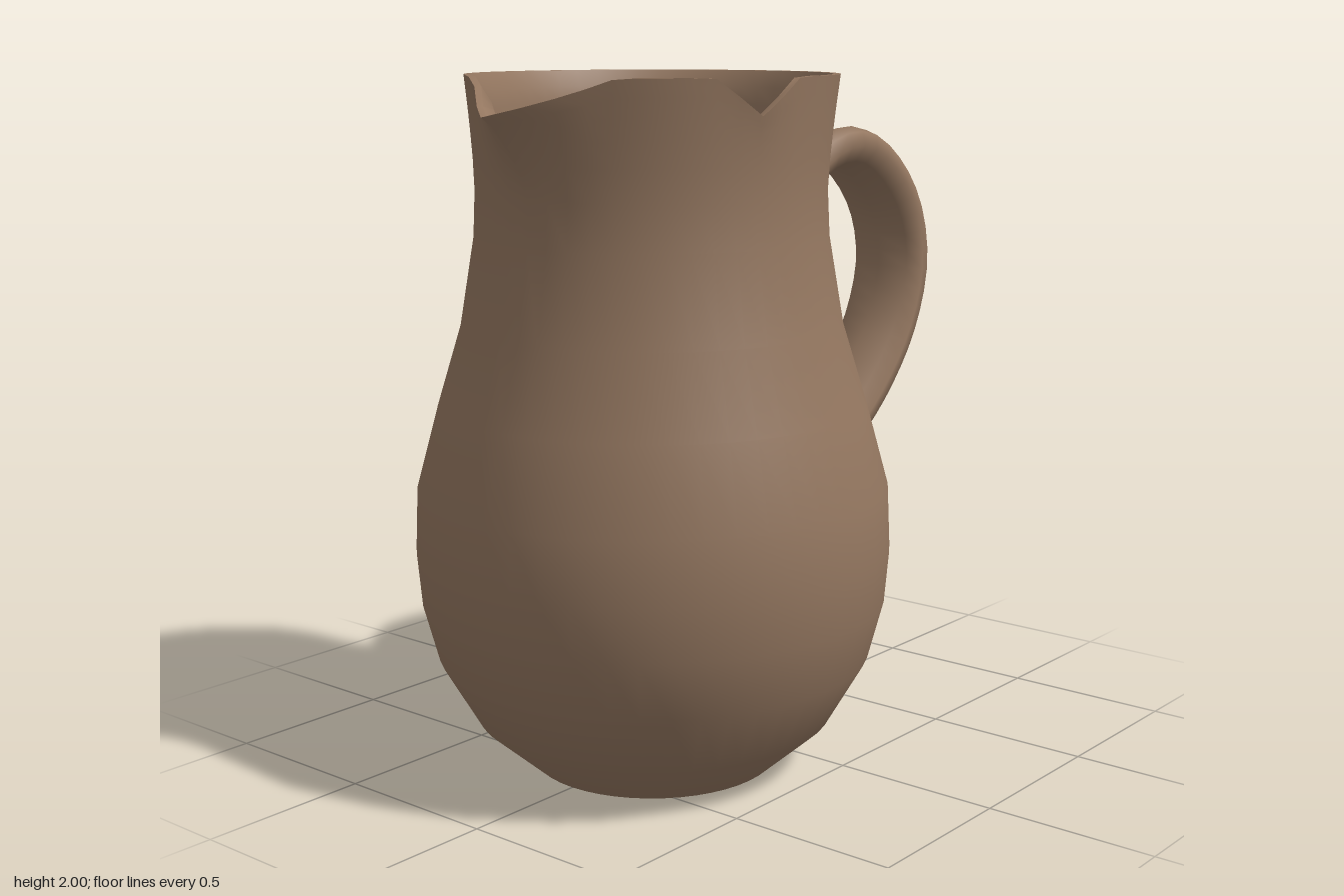
import * as THREE from 'three';
import { mergeVertices, toCreasedNormals } from 'three/addons/utils/BufferGeometryUtils.js';

const AXIS_X = -0.265; // the pot stands off-centre to make room for the handle

// outer wall as [radius, height]
const WALL = [
  [0.36, 0], [0.52, 0.14], [0.63, 0.33], [0.675, 0.5], [0.688, 0.65], [0.68, 0.83],
  [0.615, 1.07], [0.545, 1.3], [0.503, 1.55], [0.497, 1.68], [0.5, 1.77], [0.505, 1.84],
  [0.51, 1.9], [0.515, 1.95], [0.52, 2],
];

function wallRadius(y) {
  for (let i = 1; i < WALL.length; i++) {
    const [r0, y0] = WALL[i - 1], [r1, y1] = WALL[i];
    if (y <= y1) return THREE.MathUtils.lerp(r0, r1, (y - y0) / (y1 - y0));
  }
  return WALL[WALL.length - 1][0];
}

// hollow pot: lathe, with the mouth pulled into a spout and a nick in the rim
function makePot() {
  const inner = WALL.slice(1).reverse().map(([r, y]) => [r - (y > 1.97 ? 0.02 : 0.042), y]);
  const profile = [[0, 0.006], ...WALL, ...inner, [0.38, 0.07], [0, 0.06]];
  let geo = new THREE.LatheGeometry(profile.map(([r, y]) => new THREE.Vector2(r, y)), 48);
  const p = geo.attributes.position;
  for (let i = 0; i < p.count; i++) {
    const x = p.getX(i), y = p.getY(i), z = p.getZ(i);
    const r = Math.hypot(x, z);
    const t = THREE.MathUtils.clamp((y - 1.68) / 0.32, 0, 1);
    if (t === 0 || r === 0) continue;
    const a = Math.atan2(z, -x); // 0 at the spout, positive towards the front
    const spout = Math.pow(Math.max(0, 1 - Math.abs(a) / 0.45), 1.5);
    const dip = Math.max(0, 1 - Math.abs(a) / 0.55);
    const nick = Math.max(0, 1 - Math.abs(a - 1.31) / 0.27);
    const grow = (0.12 * spout * Math.pow(t, 1.3) + 0.015 * t * Math.max(0, -Math.cos(a))) / r;
    p.setXYZ(i,
      x * (1 + grow),
      y - (0.1 * dip + 0.1 * nick) * t * t,
      z * (1 + grow) - 0.02 * spout * t);
  }
  geo.deleteAttribute('uv');
  geo.deleteAttribute('normal');
  geo = toCreasedNormals(mergeVertices(geo, 1e-4), 0.65);
  return geo.translate(AXIS_X, 0, 0);
}

// strap handle: a grooved section swept along a curve
function makeHandle() {
  const path = new THREE.CatmullRomCurve3([
    [0.22, 1.47, -0.01], [0.28, 1.59, -0.01], [0.37, 1.69, 0], [0.5, 1.757, 0.005], [0.64, 1.755, 0.01],
    [0.78, 1.66, 0.018], [0.87, 1.53, 0.022], [0.893, 1.37, 0.028], [0.83, 1.18, 0.03],
    [0.69, 1.0, 0.03], [0.51, 0.845, 0.025], [0.38, 0.74, 0.02],
  ].map((v) => new THREE.Vector3(...v)));
  // section as [across, outward]
  const section = [
    [-0.132, 0], [-0.12, 0.045], [-0.075, 0.06], [0, 0.038], [0.075, 0.06], [0.12, 0.045],
    [0.132, 0], [0.1, -0.048], [0, -0.06], [-0.1, -0.048],
  ];
  const steps = 30, n = section.length, verts = [], index = [];
  for (let i = 0; i <= steps; i++) {
    const u = i / steps, c = path.getPointAt(u), t = path.getTangentAt(u);
    const thick = 1 + 0.6 * Math.max(0, 1 - u / 0.12) + 0.3 * Math.max(0, (u - 0.9) / 0.1);
    for (const [across, out] of section) {
      let x = c.x - t.y * out * thick, z = c.z + across;
      const y = c.y + t.x * out * thick;
      // keep the roots inside the thickness of the wall
      const r = Math.hypot(x - AXIS_X, z), least = wallRadius(y) - 0.02;
      if (r < least) {
        x = AXIS_X + (x - AXIS_X) * least / r;
        z *= least / r;
      }
      verts.push(x, y, z);
    }
  }
  for (let i = 0; i < steps; i++) {
    for (let j = 0; j < n; j++) {
      const a = i * n + j, c = i * n + (j + 1) % n;
      index.push(a, c, a + n, c, c + n, a + n);
    }
  }
  const geo = new THREE.BufferGeometry();
  geo.setAttribute('position', new THREE.Float32BufferAttribute(verts, 3));
  geo.setIndex(index);
  geo.computeVertexNormals();
  return geo;
}

export function createModel() {
  const clay = new THREE.MeshStandardMaterial({ color: 0x947760 });
  clay.name = 'brown clay';
  const group = new THREE.Group();
  group.name = 'pitcher';
  for (const [name, geo] of [['pot', makePot()], ['handle', makeHandle()]]) {
    const mesh = new THREE.Mesh(geo, clay);
    mesh.name = name;
    group.add(mesh);
  }
  return group;
}
